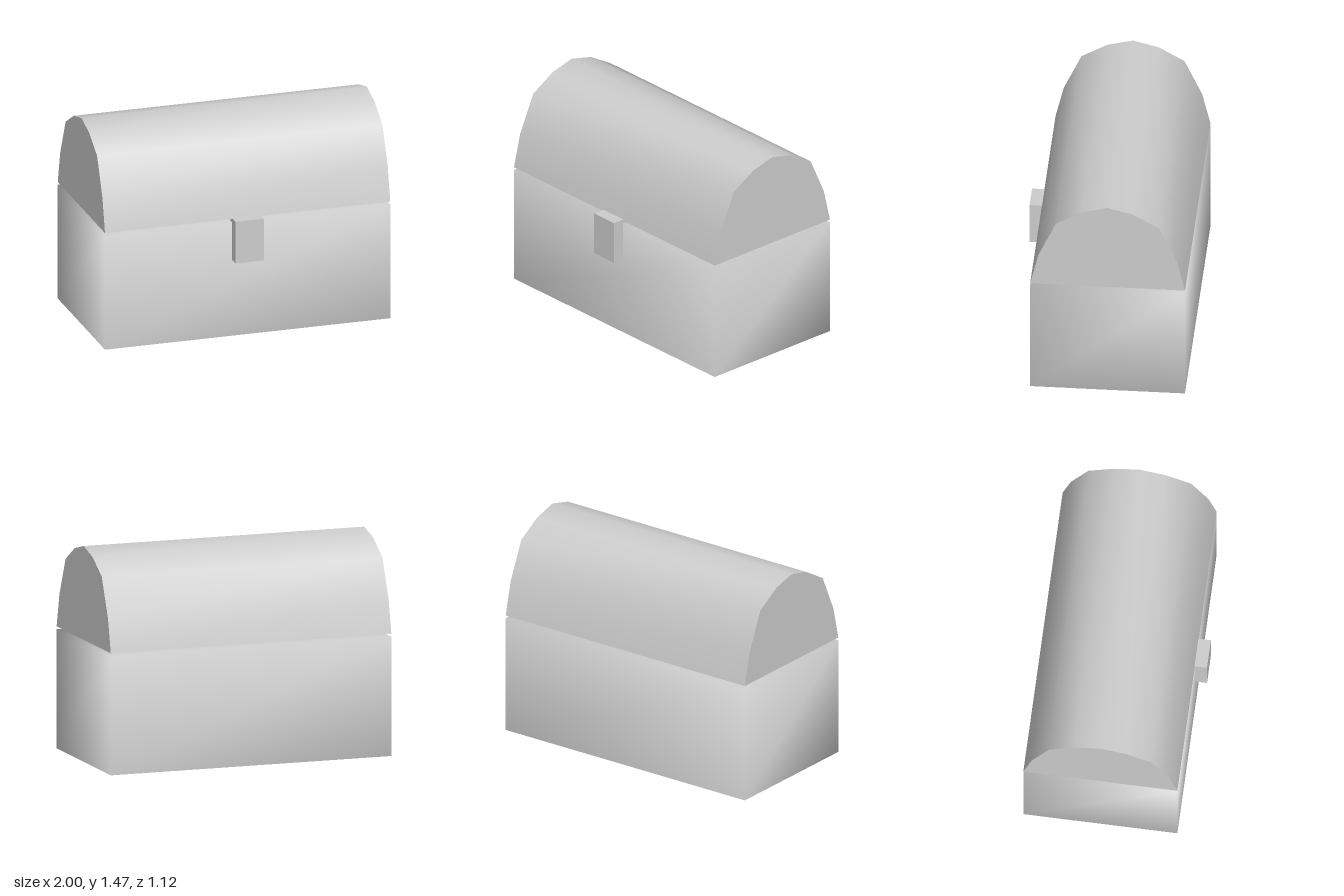
import * as THREE from 'three';
import { mergeVertices } from 'three/addons/utils/BufferGeometryUtils.js';

const HALF_LENGTH = 1;
const FRONT = 0.478, BACK = -0.56;
const DEPTH = FRONT - BACK, MID_Z = (FRONT + BACK) / 2;
const BASE_TOP = 0.81, FLOOR_Y = 0.19, LID_BOTTOM = 0.83;

// Lid cross-section as [z, y], from the front edge over the top to the back edge
const LID_PROFILE = [
  [FRONT, LID_BOTTOM], [0.423, 1.06], [0.305, 1.32], [0.13, 1.423], [-0.04, 1.467],
  [-0.212, 1.423], [-0.387, 1.32], [-0.505, 1.06], [BACK, LID_BOTTOM],
];

const grey = new THREE.MeshStandardMaterial({ color: 0xcccccc, side: THREE.DoubleSide });
grey.name = 'plain grey';

function part(name, geometry, parent, x = 0, y = 0, z = 0) {
  const mesh = new THREE.Mesh(geometry, grey);
  mesh.name = name;
  mesh.position.set(x, y, z);
  parent.add(mesh);
}

// Smooth curved sheet swept along x
function lidShell() {
  const positions = [], index = [];
  LID_PROFILE.forEach(([z, y], i) => {
    positions.push(-HALF_LENGTH, y, z, HALF_LENGTH, y, z);
    if (i > 0) {
      const a = 2 * i - 2;
      index.push(a, a + 1, a + 3, a, a + 3, a + 2);
    }
  });
  const geometry = new THREE.BufferGeometry();
  geometry.setAttribute('position', new THREE.Float32BufferAttribute(positions, 3));
  geometry.setIndex(index);
  geometry.computeVertexNormals();
  return geometry;
}

// Flat end of the lid, facing +x (side 1) or -x (side -1)
function lidEnd(side) {
  const points = LID_PROFILE.map(([z, y]) => new THREE.Vector2(-side * z, y));
  return new THREE.ShapeGeometry(new THREE.Shape(points)).rotateY(side * Math.PI / 2);
}

// Four walls and a top with normals smoothed over the edges, no bottom face
function baseBody() {
  const box = new THREE.BoxGeometry(2 * HALF_LENGTH, BASE_TOP, DEPTH);
  const index = Array.from(box.index.array);
  index.splice(18, 6);
  box.setIndex(index);
  box.clearGroups();
  box.deleteAttribute('normal');
  box.deleteAttribute('uv');
  const body = mergeVertices(box);
  body.computeVertexNormals();
  return body;
}

// Horizontal sheet as large as the chest, facing up (1) or down (-1)
function sheet(facing) {
  return new THREE.PlaneGeometry(2 * HALF_LENGTH, DEPTH).rotateX(-facing * Math.PI / 2);
}

export function createModel() {
  const chest = new THREE.Group();
  chest.name = 'chest';

  // Closed base, recessed underneath
  const base = new THREE.Group();
  base.name = 'base';
  part('baseBody', baseBody(), base, 0, BASE_TOP / 2, MID_Z);
  part('baseFloor', sheet(1), base, 0, FLOOR_Y, MID_Z);

  // Closed domed lid, a narrow gap above the base
  const lid = new THREE.Group();
  lid.name = 'lid';
  part('lidShell', lidShell(), lid);
  part('lidLeftEnd', lidEnd(1), lid, HALF_LENGTH);
  part('lidRightEnd', lidEnd(-1), lid, -HALF_LENGTH);
  part('lidUnderside', sheet(-1), lid, 0, LID_BOTTOM, MID_Z);

  chest.add(base, lid);

  // Latch block on the front
  part('latch', new THREE.BoxGeometry(0.198, 0.296, 0.13), chest, -0.012, 0.691, 0.495);
  return chest;
}
